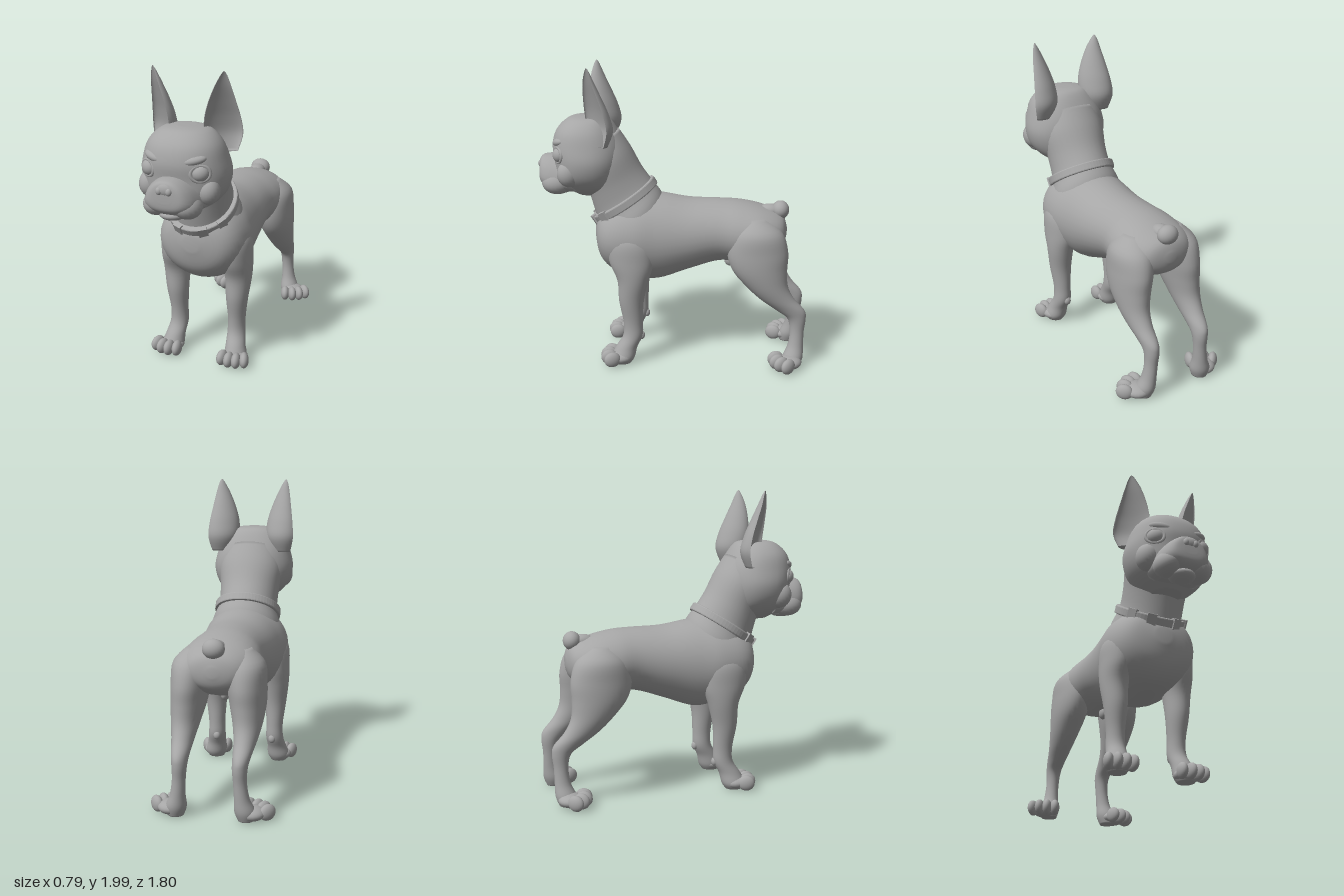
import * as THREE from 'three';

const coat = new THREE.MeshStandardMaterial({ color: 0xa6a6a6 });
coat.name = 'plain grey';

// Catmull-Rom blend of whole rows of numbers
function sampleRows(rows, steps) {
  const out = [];
  const at = (i) => rows[Math.max(0, Math.min(rows.length - 1, i))];
  for (let i = 0; i < rows.length - 1; i++) {
    for (let k = 0; k < steps; k++) {
      const t = k / steps;
      out.push(rows[i].map((b, c) => {
        const a = at(i - 1)[c], d = at(i + 1)[c], e = at(i + 2)[c];
        return b + 0.5 * t * (d - a + t * (2 * a - 5 * b + 4 * d - e + t * (3 * (b - d) + e - a)));
      }));
    }
  }
  out.push(rows[rows.length - 1]);
  return out;
}

// Closed smooth skin through cross-sections; side -1 mirrors it
function loft(rows, section, side = 1, steps = 5, n = 32) {
  const rings = sampleRows(rows, steps), pos = [], idx = [];
  const tri = (a, b, c) => (side > 0 ? idx.push(a, b, c) : idx.push(a, c, b));
  for (const r of rings) {
    for (let j = 0; j < n; j++) {
      const p = section(r, (j / n) * Math.PI * 2);
      pos.push(p[0] * side, p[1], p[2]);
    }
  }
  for (let i = 0; i < rings.length - 1; i++) {
    for (let j = 0; j < n; j++) {
      const a = i * n + j, b = i * n + (j + 1) % n;
      tri(a, b, b + n);
      tri(a, b + n, a + n);
    }
  }
  const last = (rings.length - 1) * n, c0 = pos.length / 3;
  for (const r of [rings[0], rings[rings.length - 1]]) pos.push(r[0] * side, r[1], r[2]);
  for (let j = 0; j < n; j++) {
    const k = (j + 1) % n;
    tri(c0, k, j);
    tri(c0 + 1, last + j, last + k);
  }
  const g = new THREE.BufferGeometry();
  g.setAttribute('position', new THREE.Float32BufferAttribute(pos, 3));
  g.setIndex(idx);
  g.computeVertexNormals();
  return g;
}

// Oval section: row = x, y, z, half width, half depth, tilt in degrees
const oval = (power = 1, taper = 0) => ([x, y, z, w, d, tilt], a) => {
  const bend = (v) => Math.sign(v) * Math.abs(v) ** power;
  const t = THREE.MathUtils.degToRad(tilt), c = bend(Math.cos(a)), s = bend(Math.sin(a));
  return [x + w * c * (1 - taper * s), y + d * s * Math.cos(t), z + d * s * Math.sin(t)];
};
const flat = (rows, tilt) => rows.map((r) => [...r, tilt]);

// Thin scooped section for the ears, open to the front and outside
const scoop = ([x, y, z, w, d], a) => {
  const u = w * Math.cos(a), s = Math.sin(a), b = d * (s > 0 ? s : -0.5 * s);
  return [x + 0.77 * u - 0.64 * b, y, z - 0.64 * u - 0.77 * b];
};

export function createModel() {
  const dog = new THREE.Group();
  dog.name = 'dog';
  const add = (name, geo, parent = dog) => {
    const m = new THREE.Mesh(geo, coat);
    m.name = name;
    parent.add(m);
    return m;
  };
  const ball = (name, p, r, yaw = 0, roll = 0, parent = dog) => {
    const m = add(name, new THREE.SphereGeometry(1, 24, 16), parent);
    m.position.set(...p);
    m.scale.set(...r);
    m.rotation.set(0, yaw, roll);
    return m;
  };

  // Torso, rump to chest
  add('torso', loft(flat([
    [0, 0.90, -0.755, 0.03, 0.03], [0, 0.90, -0.72, 0.16, 0.11], [0, 0.895, -0.6, 0.25, 0.17],
    [0, 0.895, -0.45, 0.255, 0.205], [0, 0.90, -0.3, 0.235, 0.21], [0, 0.87, -0.1, 0.25, 0.245],
    [0, 0.85, 0.1, 0.275, 0.295], [0, 0.855, 0.25, 0.295, 0.29], [0, 0.86, 0.4, 0.275, 0.25],
    [0, 0.87, 0.49, 0.2, 0.17], [0, 0.88, 0.53, 0.05, 0.05],
  ], 0), oval()));
  ball('bellyBump', [0, 0.68, -0.39], [0.028, 0.045, 0.05]);

  // Neck
  add('neck', loft([
    [0, 0.86, 0.24, 0.25, 0.26, -50], [0, 0.99, 0.285, 0.24, 0.25, -53],
    [0, 1.1, 0.335, 0.205, 0.225, -56], [0, 1.22, 0.39, 0.205, 0.2, -58],
    [0, 1.37, 0.45, 0.22, 0.18, -60], [0, 1.5, 0.5, 0.19, 0.15, -60],
  ], oval()));

  // Collar band with blocks on the front half
  const collar = new THREE.Group();
  collar.name = 'collar';
  collar.position.set(0, 1.095, 0.335);
  collar.rotation.x = THREE.MathUtils.degToRad(-56.5);
  dog.add(collar);
  const band = new THREE.Shape().absellipse(0, 0, 0.222, 0.24, 0, Math.PI * 2);
  band.holes.push(new THREE.Path().absellipse(0, 0, 0.19, 0.208, 0, Math.PI * 2));
  const bandGeo = new THREE.ExtrudeGeometry(band, {
    depth: 0.04, bevelSize: 0.008, bevelThickness: 0.008, bevelSegments: 2, curveSegments: 32,
  });
  add('collarBand', bandGeo.translate(0, 0, -0.02), collar);
  for (const deg of [-145, -112, -68, -35]) {
    const a = THREE.MathUtils.degToRad(deg);
    const b = add('collarBlock', new THREE.BoxGeometry(0.03, 0.06, 0.075), collar);
    b.position.set(0.222 * Math.cos(a), 0.24 * Math.sin(a), 0);
    b.rotation.z = a;
  }

  // Head, crown to jaw
  const head = new THREE.Group();
  head.name = 'head';
  dog.add(head);
  add('skull', loft(flat([
    [0, 1.668, 0.56, 0.05, 0.06], [0, 1.65, 0.57, 0.15, 0.13], [0, 1.58, 0.58, 0.225, 0.195],
    [0, 1.48, 0.57, 0.262, 0.235], [0, 1.38, 0.56, 0.28, 0.235], [0, 1.28, 0.56, 0.255, 0.225],
    [0, 1.2, 0.55, 0.19, 0.19], [0, 1.14, 0.55, 0.09, 0.1],
  ], 90), oval(0.92)), head);
  add('muzzle', loft(flat([
    [0, 1.28, 0.64, 0.18, 0.12], [0, 1.285, 0.76, 0.165, 0.122], [0, 1.295, 0.84, 0.145, 0.11],
    [0, 1.305, 0.885, 0.105, 0.085], [0, 1.305, 0.895, 0.04, 0.035],
  ], 0), oval(0.85, 0.25)), head);
  ball('nose', [0, 1.35, 0.872], [0.06, 0.042, 0.03], 0, 0, head);
  ball('chin', [0, 1.172, 0.77], [0.085, 0.038, 0.085], 0, 0, head);

  for (const s of [1, -1]) {
    const tag = (part) => (s > 0 ? 'left' : 'right') + part;

    // Face
    ball(tag('Jowl'), [s * 0.092, 1.235, 0.77], [0.095, 0.08, 0.105], 0, s * -0.4, head);
    ball(tag('Nostril'), [s * 0.032, 1.343, 0.89], [0.02, 0.024, 0.018], 0, 0, head);
    ball(tag('Cheek'), [s * 0.185, 1.31, 0.67], [0.075, 0.09, 0.085], s * 0.5, 0, head);
    ball(tag('Brow'), [s * 0.125, 1.505, 0.74], [0.08, 0.032, 0.045], s * 0.4, s * 0.2, head);
    ball(tag('Eye'), [s * 0.165, 1.43, 0.737], [0.054, 0.05, 0.045], s * 0.5, 0, head);
    const lid = add(tag('Eyelid'), new THREE.TorusGeometry(0.058, 0.013, 10, 32), head);
    lid.position.set(s * 0.168, 1.43, 0.745);
    lid.rotation.y = s * 0.55;
    lid.scale.y = 0.85;

    // Ear
    add(tag('Ear'), loft([
      [0.215, 1.5, 0.49, 0.085, 0.07], [0.212, 1.6, 0.485, 0.118, 0.1], [0.208, 1.7, 0.5, 0.115, 0.09],
      [0.212, 1.8, 0.52, 0.09, 0.07], [0.222, 1.9, 0.537, 0.055, 0.045],
      [0.23, 1.97, 0.54, 0.024, 0.02], [0.232, 2.0, 0.54, 0.004, 0.004],
    ], scoop, s), head);

    // Legs, top to bottom
    add(tag('FrontLeg'), loft(flat([
      [0.18, 0.98, 0.28, 0.04, 0.06], [0.2, 0.87, 0.275, 0.097, 0.15], [0.212, 0.73, 0.27, 0.098, 0.15],
      [0.22, 0.6, 0.262, 0.087, 0.105], [0.215, 0.45, 0.275, 0.073, 0.083],
      [0.21, 0.3, 0.265, 0.058, 0.066], [0.21, 0.2, 0.268, 0.06, 0.066],
      [0.22, 0.12, 0.31, 0.065, 0.072], [0.23, 0.05, 0.335, 0.075, 0.08], [0.23, 0.01, 0.34, 0.055, 0.06],
    ], 90), oval(), s));
    ball(tag('WristPad'), [s * 0.2, 0.195, 0.21], [0.025, 0.03, 0.022]);
    add(tag('HindLeg'), loft(flat([
      [0.14, 1.02, -0.54, 0.06, 0.07], [0.165, 0.93, -0.555, 0.122, 0.165], [0.178, 0.8, -0.56, 0.122, 0.2],
      [0.188, 0.68, -0.575, 0.112, 0.182], [0.195, 0.57, -0.625, 0.092, 0.14],
      [0.195, 0.48, -0.695, 0.072, 0.115], [0.19, 0.4, -0.785, 0.055, 0.095],
      [0.187, 0.34, -0.83, 0.047, 0.062], [0.19, 0.25, -0.835, 0.042, 0.047],
      [0.2, 0.15, -0.828, 0.048, 0.052], [0.215, 0.07, -0.81, 0.065, 0.068], [0.22, 0.01, -0.8, 0.05, 0.055],
    ], 90), oval(), s));

    // Paws: a pad and four toes, turned outwards
    for (const [part, x, z, yaw] of [['FrontPaw', 0.235, 0.365, 0.12], ['HindPaw', 0.262, -0.772, 0.55]]) {
      const paw = new THREE.Group();
      paw.name = tag(part);
      paw.position.set(s * x, 0, z);
      paw.rotation.y = s * yaw;
      dog.add(paw);
      ball('pad', [0, 0.052, -0.015], [0.085, 0.046, 0.085], 0, 0, paw);
      for (const i of [-1.5, -0.5, 0.5, 1.5]) {
        const f = 0.062 - 0.02 * (Math.abs(i) - 0.5);
        ball('toe', [i * 0.05, 0.058, f], [0.032, 0.052, 0.056], i * 0.15, 0, paw);
      }
    }
  }

  // Stub tail
  ball('tailBase', [0, 1.035, -0.64], [0.055, 0.045, 0.08]);
  ball('tailTip', [0, 1.04, -0.71], [0.07, 0.062, 0.058]);
  return dog;
}
